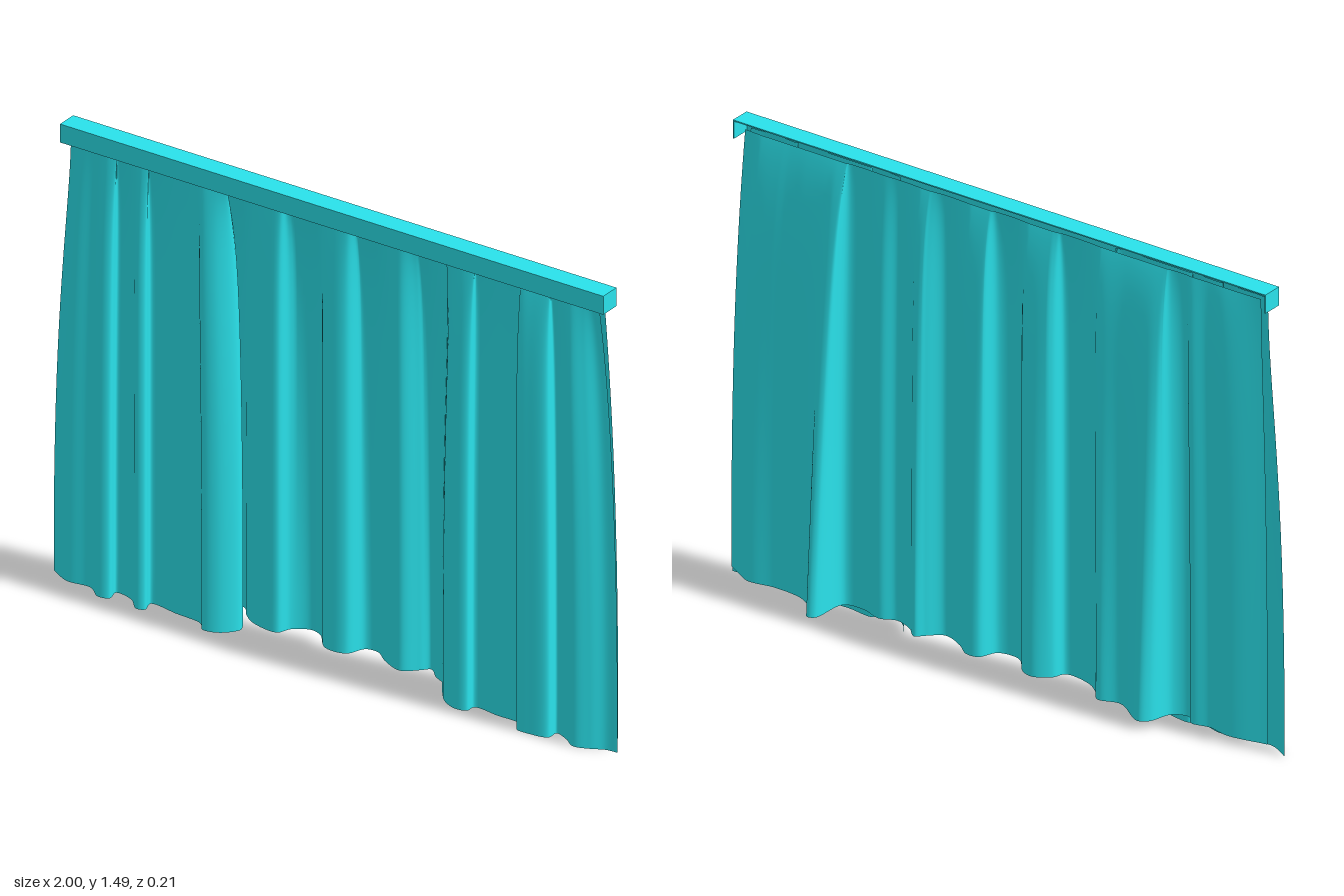
import * as THREE from 'three';

const material = new THREE.MeshStandardMaterial({ color: 0x2ae2eb, side: THREE.DoubleSide });

// Cloth hanging from a straight gathered top to a folded hem.
// hem: [x, z] points along the bottom edge; topX: x range at the rail.
function curtain(name, hem, topX, topZ, topY, bottomY) {
  const rows = 20, cols = hem.length * 8;
  const curve = new THREE.CatmullRomCurve3(hem.map(([x, z]) => new THREE.Vector3(x, 0, z)), false, 'centripetal');
  const first = hem[0][0], last = hem[hem.length - 1][0];
  const geometry = new THREE.PlaneGeometry(1, 1, cols, rows);
  const position = geometry.attributes.position;
  const p = new THREE.Vector3();
  for (let c = 0; c <= cols; c++) {
    curve.getPoint(c / cols, p);
    // Only the outer edges are drawn sideways at the rail; inner folds hang straight
    const u = (p.x - first) / (last - first);
    const pull = (topX[0] - first) * Math.pow(1 - u, 4) + (topX[1] - last) * Math.pow(u, 4);
    const zNear = Math.max(p.z, -0.01);
    for (let r = 0; r <= rows; r++) {
      const t = Math.pow(r / rows, 1.6);
      const fold = 0.1 + 0.9 * (1 - Math.pow(1 - t, 10));
      // Ordinary folds open just below the rail; deep ones flare steadily to the hem
      position.setXYZ(r * (cols + 1) + c,
        p.x + pull * Math.pow(1 - t, 2.5),
        topY + (bottomY - topY) * t,
        topZ + (zNear - topZ) * fold + (p.z - zNear) * t);
    }
  }
  geometry.computeVertexNormals();
  const mesh = new THREE.Mesh(geometry, material);
  mesh.name = name;
  return mesh;
}

function board(name, w, h, d, x, y, z) {
  const mesh = new THREE.Mesh(new THREE.BoxGeometry(w, h, d), material);
  mesh.position.set(x, y, z);
  mesh.name = name;
  return mesh;
}

export function createModel() {
  const model = new THREE.Group();
  model.name = 'windowCurtains';

  // Pelmet: a channel open at the back and below
  const pelmet = new THREE.Group();
  pelmet.name = 'pelmet';
  pelmet.add(
    board('pelmetTop', 1.914, 0.004, 0.067, 0.01, 1.486, 0.0465),
    board('pelmetFront', 1.914, 0.06, 0.004, 0.01, 1.458, 0.078));
  for (const s of [-1, 1]) {
    pelmet.add(board('pelmetEnd', 0.004, 0.06, 0.067, 0.01 + s * 0.955, 1.458, 0.0465));
  }
  model.add(pelmet);

  // Full-width curtain at the back
  model.add(curtain('backCurtain', [
    [-0.95, 0.02], [-0.82, -0.003], [-0.75, 0.01], [-0.69, 0], [-0.66, 0.03], [-0.61, 0.01],
    [-0.585, -0.06], [-0.555, -0.08], [-0.45, -0.02], [-0.38, -0.037], [-0.345, 0], [-0.3, 0.03],
    [-0.21, 0.04], [-0.19, 0], [-0.14, -0.03], [-0.1, -0.02], [-0.04, 0.04], [0.03, 0.035],
    [0.06, -0.02], [0.1, -0.025], [0.15, 0.01], [0.22, 0.035], [0.265, 0], [0.29, -0.023],
    [0.33, 0.01], [0.39, 0.03], [0.44, 0.01], [0.51, 0.03], [0.575, 0.02], [0.592, -0.095],
    [0.615, -0.104], [0.65, -0.05], [0.7, -0.018], [0.8, -0.008], [0.89, -0.02], [0.94, 0.005],
    [0.985, 0.03],
  ], [-0.92, 0.935], 0.03, 1.46, 0.03));

  // Two longer curtains in front, one at each side
  model.add(curtain('rightCurtain', [
    [-1, 0.035], [-0.93, 0.07], [-0.85, 0.065], [-0.8, 0.1], [-0.765, 0.09], [-0.77, 0.05],
    [-0.71, 0.06], [-0.665, 0.1], [-0.64, 0.09], [-0.648, 0.05], [-0.55, 0.06], [-0.46, 0.07],
    [-0.43, 0.1], [-0.38, 0.088], [-0.34, 0.04], [-0.35, 0.01],
  ], [-0.92, -0.38], 0.066, 1.45, 0));
  model.add(curtain('leftCurtain', [
    [0.365, 0.03], [0.4, 0.07], [0.45, 0.093], [0.49, 0.085], [0.495, 0.055], [0.58, 0.06],
    [0.66, 0.065], [0.675, 0.1], [0.72, 0.103], [0.78, 0.09], [0.785, 0.055], [0.83, 0.07],
    [0.87, 0.095], [0.92, 0.08], [0.96, 0.06], [1, 0.055],
  ], [0.4, 0.94], 0.066, 1.45, 0));

  return model;
}
